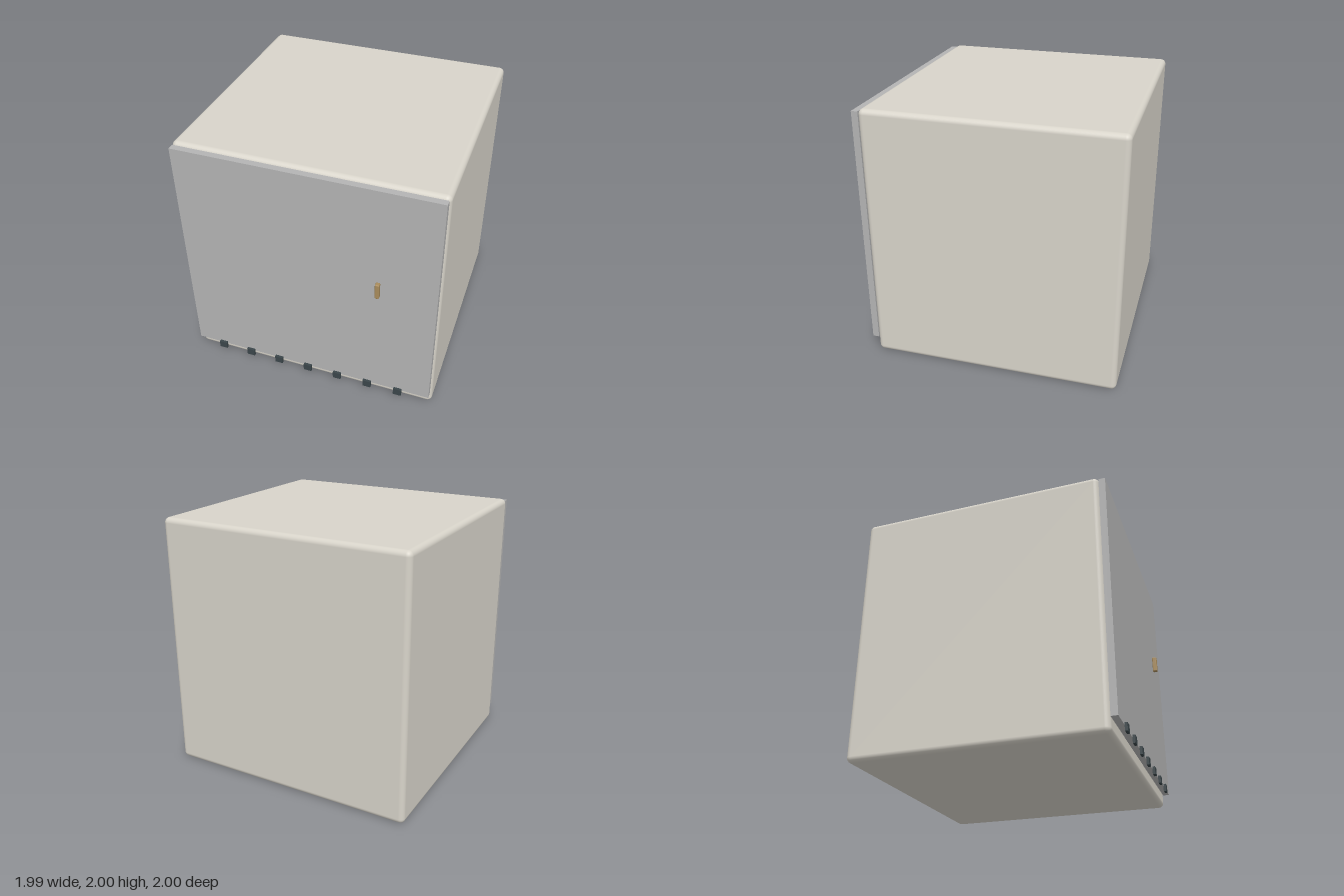
import * as THREE from 'three';
import { RoundedBoxGeometry } from 'three/addons/geometries/RoundedBoxGeometry.js';

const paint = (color) => new THREE.MeshStandardMaterial({ color });

// Adds a box spanning the given [min, max] ranges, with rounded edges if radius > 0
function addBox(parent, name, material, [x0, x1], [y0, y1], [z0, z1], radius = 0) {
  const size = [x1 - x0, y1 - y0, z1 - z0];
  const geometry = radius
    ? new RoundedBoxGeometry(...size, 4, radius)
    : new THREE.BoxGeometry(...size);
  const mesh = new THREE.Mesh(geometry, material);
  mesh.name = name;
  mesh.position.set((x0 + x1) / 2, (y0 + y1) / 2, (z0 + z1) / 2);
  parent.add(mesh);
  return mesh;
}

export function createModel() {
  const model = new THREE.Group();
  model.name = 'cabinet';

  // Cabinet body with softly rounded edges
  addBox(model, 'body', paint(0xd8d4ca), [-0.997, 0.997], [0, 2], [-1, 0.9], 0.04);

  // Drop-down door, stopping short of the base
  addBox(model, 'door', paint(0xb4b4b4), [-0.983, 0.983], [0.11, 1.98], [0.9, 0.95]);

  // Slim handle standing just proud of the door
  addBox(model, 'handle', paint(0xa98c5c), [0.539, 0.572], [1.08, 1.21], [0.963, 1], 0.008);

  // Row of hinges along the bottom edge of the door
  const hinges = new THREE.Group();
  hinges.name = 'hinges';
  const hingeMaterial = paint(0x3b464a);
  for (let i = 0; i < 7; i++) {
    const x = -0.764 + i * 0.25;
    addBox(hinges, 'hinge', hingeMaterial, [x - 0.032, x + 0.032], [0.07, 0.13], [0.95, 0.97]);
  }
  model.add(hinges);

  return model;
}
